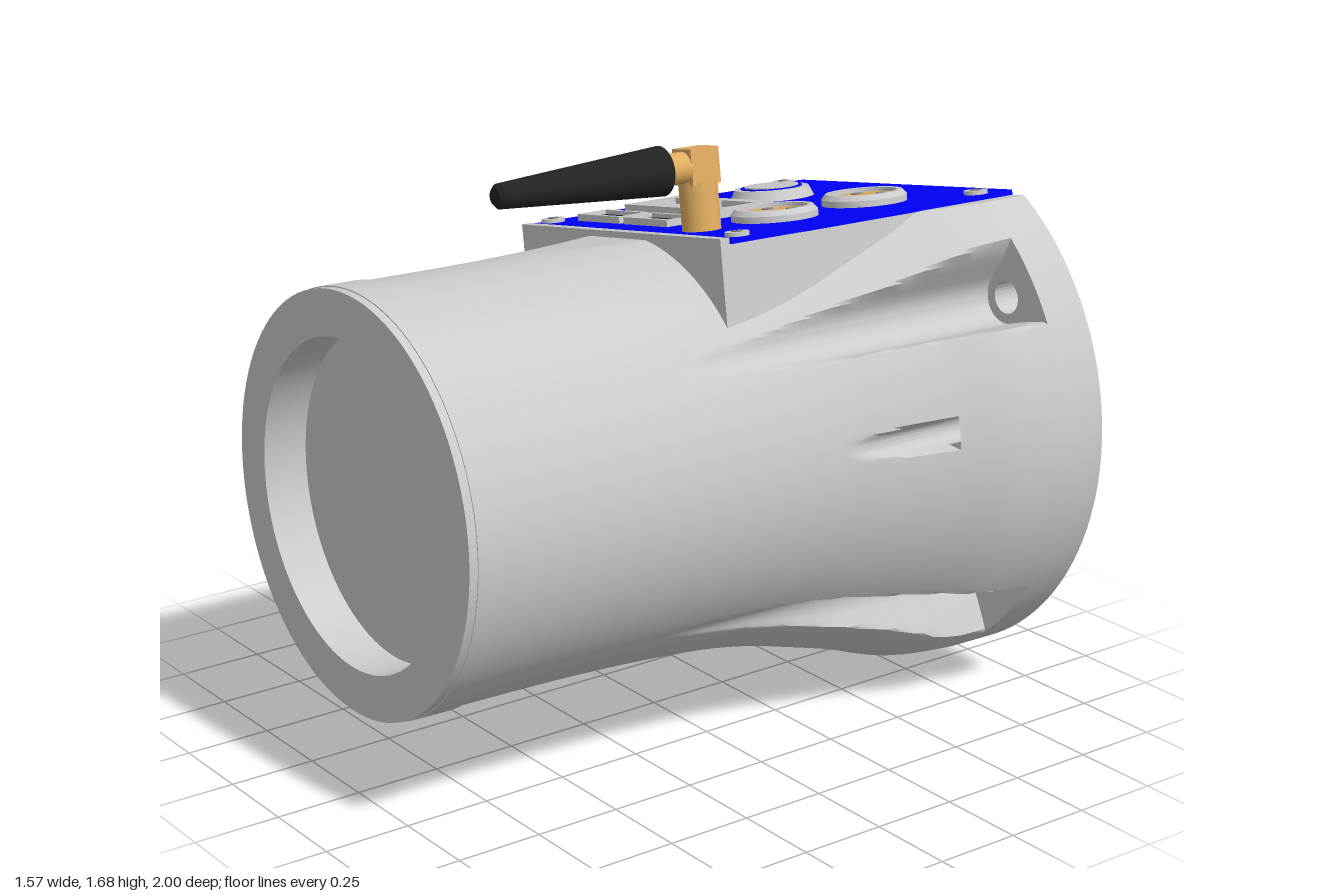
import * as THREE from 'three';
import { toCreasedNormals } from 'three/addons/utils/BufferGeometryUtils.js';

const mat = (color, side = THREE.FrontSide) => new THREE.MeshStandardMaterial({ color, side });
const grey = mat(0xcccccc), blue = mat(0x0000ff), gold = mat(0xe0ad60), black = mat(0x222222);

const FLAT = 0.585, HALF = 0.477;          // height and half width of the flat top
const BACK = -0.985, FLANGE = -0.84;       // rear face and front of the mounting flange
const BOLTS = [28.6, 151.4, 230, 310].map(THREE.MathUtils.degToRad);
const PINS = [0, Math.PI];
const BOLT_R = 0.665, PIN_R = 0.67, PIN_HOLE = 0.035;

function add(parent, name, geometry, material, x = 0, y = 0, z = 0) {
  const mesh = new THREE.Mesh(geometry, material);
  mesh.name = name;
  mesh.position.set(x, y, z);
  parent.add(mesh);
  return mesh;
}
const disc = (r, h, n = 40, r2 = r) => new THREE.CylinderGeometry(r2, r, h, n);

function circlePath(x, y, r) {
  return new THREE.Path().absarc(x, y, r, 0, Math.PI * 2, true);
}

// Shape through corner points
function poly(points) {
  return new THREE.Shape(points.map(([x, y]) => new THREE.Vector2(x, y)));
}
const rect = (w, h, x = 0, y = 0) => poly([[x - w / 2, y - h / 2], [x + w / 2, y - h / 2], [x + w / 2, y + h / 2], [x - w / 2, y + h / 2]]);

// Shape extruded upwards, its y running to the back
function raised(shape, height) {
  return new THREE.ExtrudeGeometry(shape, { depth: height, bevelEnabled: false, curveSegments: 32 }).rotateX(-Math.PI / 2);
}

// Flared shell: swept radius with flat top, bolt channels and pin grooves
function shellGeometry() {
  const profile = new THREE.SplineCurve([
    [-0.84, 0.787], [-0.68, 0.77], [-0.52, 0.718], [-0.36, 0.675], [-0.2, 0.636], [-0.04, 0.61],
    [0.12, 0.596], [0.28, 0.587], [0.44, 0.582], [0.6, 0.58], [0.86, 0.58],
  ].map(([z, r]) => new THREE.Vector2(z, r)));
  const rows = profile.getPoints(50).map((p, i) => ({ z: p.x, r: p.y, groove: i > 10 }));
  const step = 10;                          // the pin holes come out in the open here
  rows.splice(step + 1, 0, { ...rows[step], groove: true });
  const N = 480, pos = [], idx = [];
  const offset = (a, c) => {
    const d = Math.atan2(Math.sin(a - c), Math.cos(a - c));
    return Math.abs(d) < 0.7 ? Math.abs(Math.sin(d)) * BOLT_R : 9;
  };
  rows.forEach(({ z, r: base, groove }, i) => {
    for (let j = 0; j < N; j++) {
      const a = (j / N) * Math.PI * 2;
      let r = base;
      for (const c of BOLTS) {
        const t = offset(a, c);
        r = Math.min(r, t < 0.078 ? BOLT_R - Math.sqrt(0.078 ** 2 - t * t) : BOLT_R + (t - 0.078) * 4);
      }
      if (groove) for (const c of PINS) {
        const t = offset(a, c);
        if (t < PIN_HOLE) r = Math.min(r, PIN_R - Math.sqrt(PIN_HOLE ** 2 - t * t));
      }
      if (Math.sin(a) > 0) r = Math.min(r, FLAT / Math.sin(a));
      pos.push(r * Math.cos(a), r * Math.sin(a), z);
      if (i < rows.length - 1 && i !== step) {
        const k = (j + 1) % N, p = i * N, q = p + N;
        idx.push(p + j, p + k, q + k, p + j, q + k, q + j);
      }
    }
  });
  const g = new THREE.BufferGeometry();
  g.setAttribute('position', new THREE.Float32BufferAttribute(pos, 3));
  g.setIndex(idx);
  return toCreasedNormals(g, 0.5);
}

function buildBody(parent) {
  add(parent, 'flaredShell', shellGeometry(), grey);

  // Rear flange with through holes
  const a0 = Math.asin(FLAT / 0.787);
  const shape = new THREE.Shape();
  shape.absarc(0, 0, 0.787, Math.PI - a0, Math.PI * 2 + a0, false);
  BOLTS.forEach(a => shape.holes.push(circlePath(BOLT_R * Math.cos(a), BOLT_R * Math.sin(a), 0.047)));
  PINS.forEach(a => shape.holes.push(circlePath(PIN_R * Math.cos(a), 0, PIN_HOLE)));
  const flange = new THREE.ExtrudeGeometry(shape, { depth: FLANGE - BACK, bevelEnabled: false, curveSegments: 64 });
  add(parent, 'rearFlange', toCreasedNormals(flange, 0.5), grey, 0, 0, BACK);
  PINS.forEach(a => {
    const tube = new THREE.CylinderGeometry(PIN_HOLE, PIN_HOLE, 0.32, 24, 1, true).rotateX(Math.PI / 2);
    add(parent, 'pinHoleWall', tube, mat(0xcccccc, THREE.BackSide), PIN_R * Math.cos(a), 0, -0.68);
  });

  // Front collar with recessed end
  const collar = [[0.578, 0.855], [0.585, 0.855], [0.585, 0.965], [0.582, 0.965], [0.582, 0.99], [0.455, 0.99], [0.455, 0.86], [0, 0.86]]
    .map(([r, z]) => new THREE.Vector2(r, z));
  add(parent, 'frontCollar', toCreasedNormals(new THREE.LatheGeometry(collar, 96).rotateX(Math.PI / 2), 0.5), grey);

  // Raised housing under the panel, with a lip in front of it
  add(parent, 'panelHousing', new THREE.BoxGeometry(HALF * 2, 0.285, 1.04), grey, 0, FLAT - 0.1425, -0.46);
  add(parent, 'housingLip', new THREE.BoxGeometry(HALF * 2, 0.02, 0.03), grey, 0, FLAT + 0.008, 0.045);
}

function buildPanel(parent) {
  const panel = new THREE.Group();
  panel.name = 'controlPanel';
  panel.position.y = FLAT + 0.015;
  parent.add(panel);
  add(panel, 'panelPlate', new THREE.BoxGeometry(HALF * 2, 0.016, 1.008), blue, 0, -0.008, -0.481);

  // Corner screws
  for (const x of [-0.44, 0.44]) for (const z of [-0.88, -0.025]) {
    add(panel, 'screwHead', disc(0.034, 0.012, 24), grey, x, 0.005, z);
    add(panel, 'screwSocket', disc(0.017, 0.002, 6), mat(0x777777), x, 0.012, z);
  }

  // Push button
  add(panel, 'buttonBezel', disc(0.124, 0.03, 40, 0.11), grey, -0.19, 0.015, -0.64);
  add(panel, 'buttonRing', disc(0.091, 0.004), blue, -0.19, 0.031, -0.64);
  add(panel, 'buttonCap', disc(0.08, 0.01), grey, -0.19, 0.032, -0.64);

  // Round four-pole connectors
  for (const z of [-0.64, -0.315]) {
    const ring = [[0.122, 0], [0.122, 0.018], [0.11, 0.032], [0.094, 0.032], [0.094, 0]].map(([r, y]) => new THREE.Vector2(r, y));
    add(panel, 'connectorRing', toCreasedNormals(new THREE.LatheGeometry(ring, 40), 0.4), grey, 0.235, 0, z);
    add(panel, 'connectorInsert', disc(0.094, 0.02), gold, 0.235, 0.01, z);
    for (let i = 0; i < 4; i++) {
      const a = 0.3 + i * Math.PI / 2;
      add(panel, 'connectorPole', disc(0.016, 0.004, 16), mat(0x888888), 0.235 + 0.052 * Math.cos(a), 0.021, z + 0.052 * Math.sin(a));
    }
  }

  // Double network socket
  const frame = rect(0.45, 0.2);
  for (const x of [-0.112, 0.112]) {
    frame.holes.push(poly([[-0.078, 0.06], [-0.078, -0.045], [-0.05, -0.045], [-0.05, -0.075], [0.05, -0.075], [0.05, -0.045], [0.078, -0.045], [0.078, 0.06]]
      .map(([px, py]) => [px + x, py])));
  }
  add(panel, 'networkSocketFrame', raised(frame, 0.025), grey, -0.155, 0, -0.34);
  add(panel, 'networkSocketOpening', new THREE.BoxGeometry(0.42, 0.004, 0.17), black, -0.155, 0.002, -0.34);

  // Two flat data ports
  for (const x of [-0.27, -0.04]) {
    const port = rect(0.208, 0.105);
    port.holes.push(rect(0.185, 0.078));
    add(panel, 'dataPortFrame', raised(port, 0.02), grey, x, 0, -0.12);
    add(panel, 'dataPortOpening', new THREE.BoxGeometry(0.19, 0.008, 0.085), black, x, 0.004, -0.12);
  }
}

// Elbow antenna pointing to the front
function buildAntenna(parent) {
  const antenna = new THREE.Group();
  antenna.name = 'antenna';
  antenna.position.set(0.222, 0.776, -0.07);
  parent.add(antenna);
  const along = (r, len, n, tip = r) => disc(r, len, n, tip).rotateX(Math.PI / 2);
  add(antenna, 'antennaBase', disc(0.054, 0.145, 32), gold, 0, -0.112, 0);
  add(antenna, 'antennaElbow', new THREE.BoxGeometry(0.085, 0.1, 0.095), gold, 0, 0, 0);
  add(antenna, 'antennaNeck', along(0.044, 0.1, 24), gold, 0, 0, 0.09);
  add(antenna, 'antennaWhip', along(0.069, 0.525, 32, 0.034), black, 0, 0, 0.385);
  add(antenna, 'antennaTip', along(0.034, 0.012, 32, 0.024), black, 0, 0, 0.652);
}

export function createModel() {
  const model = new THREE.Group();
  model.name = 'cameraHousing';
  const tilted = new THREE.Group();
  tilted.name = 'tiltedAssembly';
  tilted.position.set(-0.007, 0.808, 0);
  tilted.rotation.set(-0.0175, -0.007, 0);
  const rolled = new THREE.Group();
  rolled.name = 'rolledAssembly';
  rolled.rotation.z = THREE.MathUtils.degToRad(9.7);
  model.add(tilted);
  tilted.add(rolled);
  buildBody(rolled);
  buildPanel(rolled);
  buildAntenna(rolled);
  return model;
}
